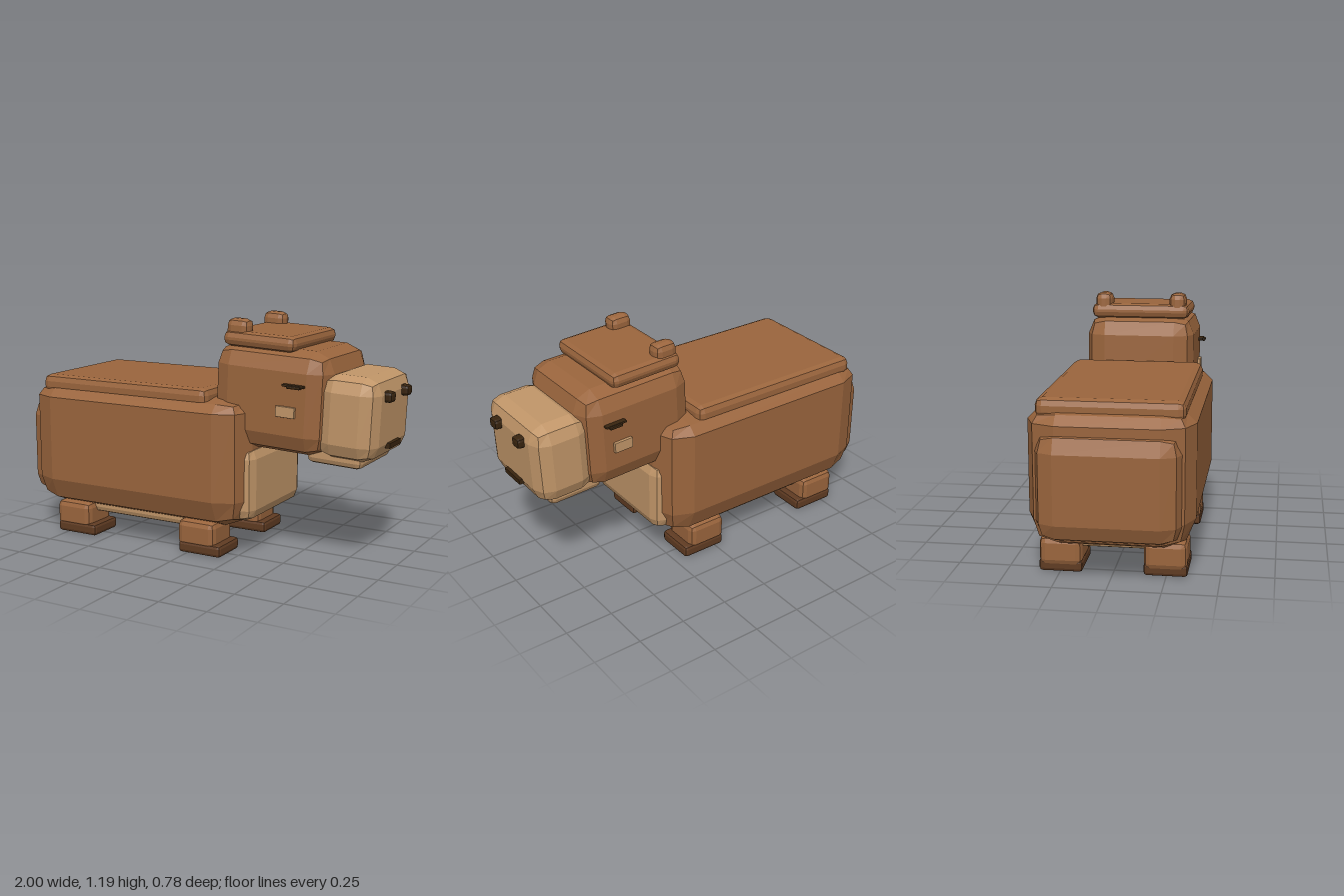
import * as THREE from 'three';
import { RoundedBoxGeometry } from 'three/addons/geometries/RoundedBoxGeometry.js';

function paint(name, color) {
  const m = new THREE.MeshStandardMaterial({ color });
  m.name = name;
  return m;
}

export function createModel() {
  const fur = paint('brown fur', 0x9a653d);
  const tan = paint('tan fur', 0xc09568);
  const hoof = paint('dark brown', 0x5f3b22);
  const dark = paint('near black', 0x38240f);
  const model = new THREE.Group();
  model.name = 'animal';
  const TILT = -0.043; // head leans slightly forward

  // Faceted bevelled block given by its [min, max] extent on each axis
  function block(parent, name, mat, [x0, x1], [y0, y1], [z0, z1], bevel, tilt = 0, shape = null) {
    const geo = new RoundedBoxGeometry(x1 - x0, y1 - y0, z1 - z0, 1, bevel);
    if (shape) shape(geo.attributes.position);
    geo.computeVertexNormals(); // unshared corners give flat facets
    const mesh = new THREE.Mesh(geo, mat);
    mesh.name = name;
    mesh.position.set((x0 + x1) / 2, (y0 + y1) / 2, (z0 + z1) / 2);
    mesh.rotation.z = tilt;
    parent.add(mesh);
    return mesh;
  }

  // The same block on the left and right of the body
  function pair(parent, name, mat, x, y, [z0, z1], bevel, tilt = 0) {
    block(parent, name + 'Front', mat, x, y, [z0, z1], bevel, tilt);
    block(parent, name + 'Back', mat, x, y, [-z1, -z0], bevel, tilt);
  }

  // Trunk: the upper bevel is shallower than the lower one
  const topHalf = (0.80 - 0.145) / 2;
  block(model, 'body', fur, [-0.96, 0.32], [0.145, 0.80], [-0.388, 0.388], 0.15, 0, (p) => {
    for (let i = 0; i < p.count; i++) {
      const y = p.getY(i);
      if (y > 0) p.setY(i, topHalf - (topHalf - y) * 0.4);
    }
  });
  block(model, 'rump', fur, [-1.0, -0.7], [0.19, 0.72], [-0.34, 0.34], 0.1);
  block(model, 'backSlab', fur, [-0.89, 0.11], [0.75, 0.85], [-0.342, 0.342], 0.035);
  block(model, 'chest', tan, [0.05, 0.34], [0.185, 0.565], [-0.295, 0.295], 0.06);
  block(model, 'belly', tan, [-0.78, 0.14], [0.115, 0.24], [-0.28, 0.28], 0.03);

  // Legs and feet
  for (const [name, x] of [['hind', -0.815], ['fore', -0.055]]) {
    pair(model, name + 'Leg', fur, [x, x + 0.212], [0.03, 0.172], [0.145, 0.348], 0.03);
    pair(model, name + 'Foot', hoof, [x + 0.008, x + 0.25], [0, 0.062], [0.143, 0.35], 0.017);
  }

  // Head
  const head = new THREE.Group();
  head.name = 'head';
  model.add(head);
  block(head, 'skull', fur, [0.1, 0.72], [0.555, 1.065], [-0.283, 0.283], 0.1, TILT);
  block(head, 'crown', fur, [0.157, 0.547], [1.053, 1.13], [-0.258, 0.258], 0.032, TILT);
  pair(head, 'ear', fur, [0.165, 0.287], [1.08, 1.193], [0.152, 0.24], 0.032, TILT);
  block(head, 'snout', tan, [0.655, 0.96], [0.545, 0.953], [-0.257, 0.257], 0.08, TILT);
  block(head, 'jaw', tan, [0.59, 0.878], [0.507, 0.60], [-0.2, 0.2], 0.03, TILT);

  // Face details
  pair(head, 'nostril', dark, [0.94, 1.0], [0.83, 0.882], [0.079, 0.142], 0.015, TILT);
  block(head, 'mouth', dark, [0.92, 0.972], [0.597, 0.624], [-0.072, 0.072], 0.003, TILT);
  pair(head, 'eye', dark, [0.507, 0.62], [0.892, 0.904], [0.26, 0.308], 0.004, TILT);
  pair(head, 'eyelid', dark, [0.535, 0.605], [0.886, 0.9], [0.27, 0.318], 0.004, TILT);
  pair(head, 'cheek', tan, [0.47, 0.57], [0.742, 0.795], [0.26, 0.298], 0.003, TILT);

  return model;
}
